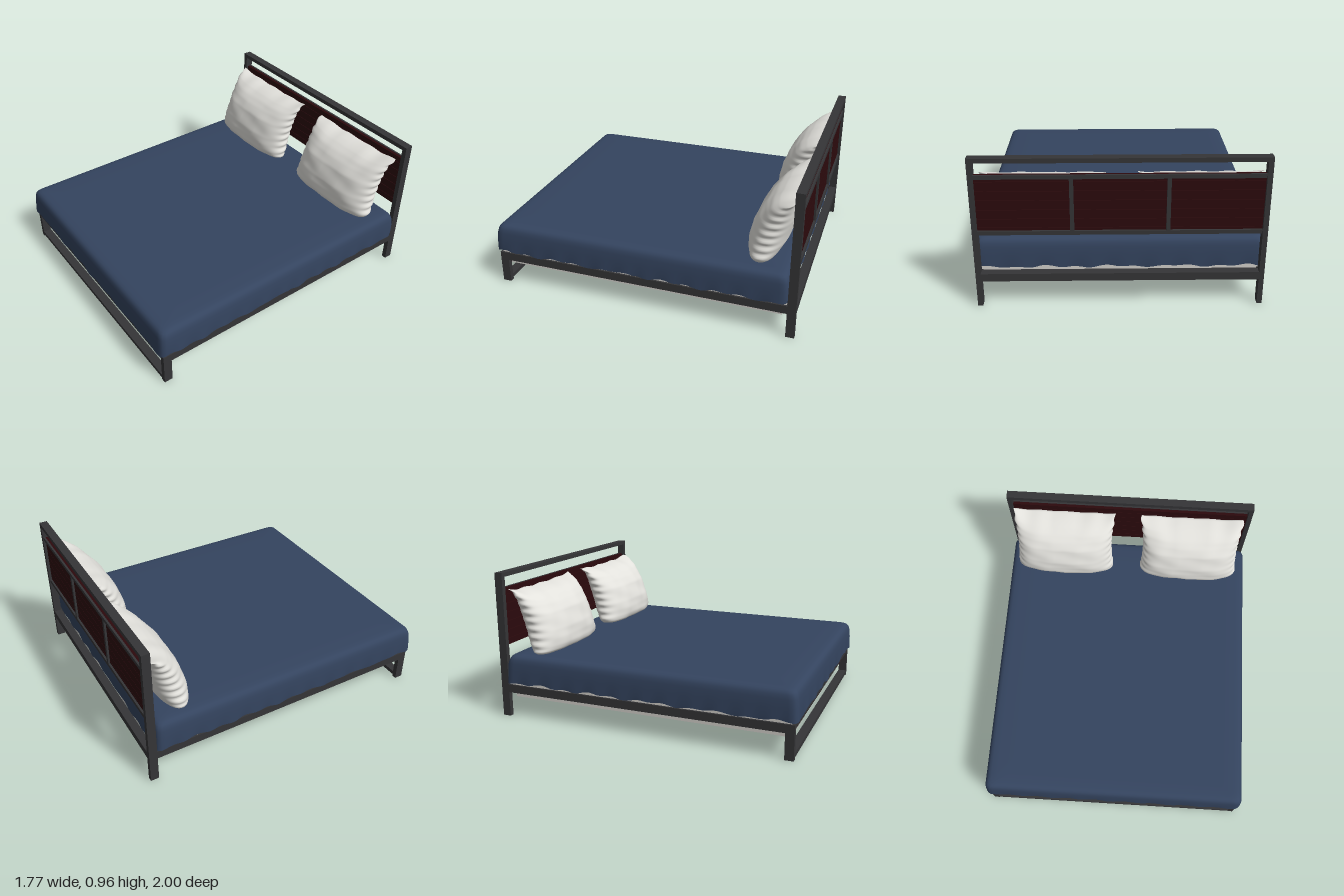
import * as THREE from 'three';

const mat = (name, color, side = THREE.FrontSide) => {
  const m = new THREE.MeshStandardMaterial({ color, side });
  m.name = name;
  return m;
};

// Box given by its lower and upper limits on each axis
function box(parent, name, material, [x0, x1], [y0, y1], [z0, z1]) {
  const mesh = new THREE.Mesh(new THREE.BoxGeometry(x1 - x0, y1 - y0, z1 - z0), material);
  mesh.position.set((x0 + x1) / 2, (y0 + y1) / 2, (z0 + z1) / 2);
  mesh.name = name;
  parent.add(mesh);
  return mesh;
}

// Skin over closed rings of equal length, listed from bottom to top
function loft(rings) {
  const n = rings[0].length, index = [];
  for (let i = 0; i < rings.length - 1; i++) {
    for (let j = 0; j < n; j++) {
      const a = i * n + j, b = i * n + (j + 1) % n;
      index.push(a, a + n, b, b, a + n, b + n);
    }
  }
  const g = new THREE.BufferGeometry();
  g.setAttribute('position', new THREE.Float32BufferAttribute(rings.flat(2), 3));
  g.setIndex(index);
  g.computeVertexNormals();
  return g;
}

// Linear reading of a [key, ...values] table
function sample(table, t, k) {
  let i = 0;
  while (i < table.length - 2 && t > table[i + 1][0]) i++;
  const a = table[i], b = table[i + 1];
  return THREE.MathUtils.lerp(a[k], b[k], (t - a[0]) / (b[0] - a[0]));
}

// Fitted cover: rounded rectangle rings, rounded shoulders and a wavy hem
function coverGeometry() {
  const hx = 0.882, hz = 0.974, r = 0.04;
  const s = new THREE.Shape();
  s.moveTo(hx, 0);
  s.lineTo(hx, hz - r);
  s.quadraticCurveTo(hx, hz, hx - r, hz);
  s.lineTo(r - hx, hz);
  s.quadraticCurveTo(-hx, hz, -hx, hz - r);
  s.lineTo(-hx, r - hz);
  s.quadraticCurveTo(-hx, -hz, r - hx, -hz);
  s.lineTo(hx - r, -hz);
  s.quadraticCurveTo(hx, -hz, hx, r - hz);
  s.closePath();
  const outline = s.getSpacedPoints(320).slice(0, 320);
  const ring = (y, inset, hem) => outline.map((p, j) => [
    p.x * (1 - inset / hx) + hem * 0.003 * Math.sin(j * 0.9),
    y + hem * 0.005 * (Math.sin(j * 0.37) + Math.sin(j * 0.83)),
    0.024 + p.y * (1 - inset / hz) + hem * 0.003 * Math.cos(j * 0.7),
  ]);
  const centre = y => outline.map(() => [0, y, 0.024]);
  const rows = [[0.24, 0, 1], [0.265, 0, 0.5], [0.32, 0.002, 0], [0.37, 0.006, 0], [0.395, 0.012, 0],
    [0.41, 0.02, 0], [0.42, 0.032, 0], [0.426, 0.05, 0], [0.43, 0.085, 0], [0.434, 0.2, 0], [0.435, 0.45, 0]];
  return {
    shell: loft([...rows.map(a => ring(...a)), centre(0.435)]),
    underside: loft([centre(0.245), ring(0.24, 0, 1)]),
  };
}

// Leaning pillow: height fraction, half width, front z, back z
const pillowProfile = [
  [0, 0.335, -0.665, -0.82], [0.03, 0.352, -0.647, -0.84], [0.1, 0.35, -0.638, -0.857], [0.22, 0.342, -0.64, -0.885],
  [0.35, 0.338, -0.65, -0.9], [0.5, 0.336, -0.675, -0.92], [0.62, 0.337, -0.695, -0.935], [0.75, 0.341, -0.735, -0.942],
  [0.85, 0.348, -0.775, -0.944], [0.93, 0.356, -0.825, -0.945], [0.98, 0.362, -0.88, -0.945], [1, 0.362, -0.92, -0.94],
];
function pillowGeometry(seed) {
  const rings = [], n = 72, rows = 44;
  const power = (v, e) => Math.sign(v) * Math.abs(v) ** e;
  for (let i = 0; i <= rows; i++) {
    const t = i / rows;
    const [w, zf, zb] = [1, 2, 3].map(k => sample(pillowProfile, t, k));
    const ring = [];
    for (let j = 0; j < n; j++) {
      const a = j / n * Math.PI * 2, u = power(Math.cos(a), 0.65), v = power(Math.sin(a), 0.9);
      const edge = Math.abs(u) ** 10;
      // soft folds fanning from the edges, and a ruffled side seam
      const fold = 0.004 * Math.sin(9 * u + 7 * t + seed) * Math.sin(13 * t - 4 * u + seed) * (1 - edge);
      ring.push([
        u * w + edge * 0.006 * Math.sin(t * 50 + seed) * Math.sign(u),
        0.432 + 0.42 * t - 0.02 * t ** 4 * (1 - u ** 4) + 0.004 * t ** 6 * Math.sin(12 * u + seed),
        (zf + zb) / 2 + v * (zf - zb) / 2 + (v > 0 ? fold : 0),
      ]);
    }
    rings.push(ring);
  }
  // closing rings at the bottom and the top seam
  const flatten = (ring, z) => ring.map(p => [p[0], p[1], z]);
  return loft([flatten(rings[0], -0.74), ...rings, flatten(rings[rows], -0.93)]);
}

export function createModel() {
  const bed = new THREE.Group();
  bed.name = 'bed';
  const metal = mat('dark metal', 0x353537);
  const wood = mat('dark red wood', 0x2c0a0d);
  const blue = mat('blue cover', 0x34445f);
  const linen = mat('pillow linen', 0xe3e2dd, THREE.DoubleSide);
  const pale = mat('mattress base', 0xd6d3ce);
  const group = name => {
    const g = new THREE.Group();
    g.name = name;
    bed.add(g);
    return g;
  };

  // Headboard: posts, rails, slats and rear supports
  const head = group('headboard');
  const foot = group('footFrame');
  for (const s of [-1, 1]) {
    const x = s < 0 ? [-0.865, -0.834] : [0.834, 0.865];
    box(head, 'headPost', metal, x, [0, 0.964], [-1, -0.946]);
    box(foot, 'footLeg', metal, x, [0, 0.22], [0.926, 0.982]);
    box(bed, 'sideRail', metal, x, [0.166, 0.22], [-0.946, 0.926]);
    box(head, 'rearSupport', metal, [s * 0.28 - 0.012, s * 0.28 + 0.012], [0.48, 0.86], [-0.995, -0.982]);
  }
  const span = [-0.834, 0.834];
  box(head, 'topRail', metal, span, [0.936, 0.964], [-1, -0.946]);
  box(head, 'lowerRail', metal, span, [0.17, 0.22], [-1, -0.946]);
  box(head, 'rearPanelRail', metal, span, [0.835, 0.86], [-0.995, -0.982]);
  box(head, 'rearPanelRail', metal, span, [0.48, 0.505], [-0.995, -0.982]);
  const joints = [0.48, 0.524, 0.581, 0.639, 0.699, 0.758, 0.817, 0.861];
  for (let i = 0; i < joints.length - 1; i++) {
    box(head, 'headSlat', wood, span, [joints[i], joints[i + 1] - 0.003], [-0.982, -0.962]);
  }

  // Foot frame with its wooden plank
  box(foot, 'footTopRail', metal, span, [0.194, 0.22], [0.926, 0.982]);
  box(foot, 'footBottomRail', metal, span, [0.014, 0.04], [0.926, 0.982]);
  box(foot, 'footPlank', wood, span, [0.132, 0.194], [0.93, 0.95]);

  // Pale base between the rails and the mattress edge above them
  box(bed, 'mattressBase', pale, [-0.832, 0.832], [0.132, 0.22], [-0.912, 0.926]);
  box(bed, 'mattressEdge', pale, [-0.855, 0.855], [0.221, 0.26], [-0.94, 0.965]);

  // Cover
  const cover = group('cover');
  for (const [name, geometry] of Object.entries(coverGeometry())) {
    const mesh = new THREE.Mesh(geometry, blue);
    mesh.name = name;
    cover.add(mesh);
  }

  // Pillows
  [['rightPillow', -0.463, 1], ['leftPillow', 0.447, 3.6]].forEach(([name, x, seed]) => {
    const pillow = new THREE.Mesh(pillowGeometry(seed), linen);
    pillow.position.x = x;
    pillow.name = name;
    bed.add(pillow);
  });
  return bed;
}
